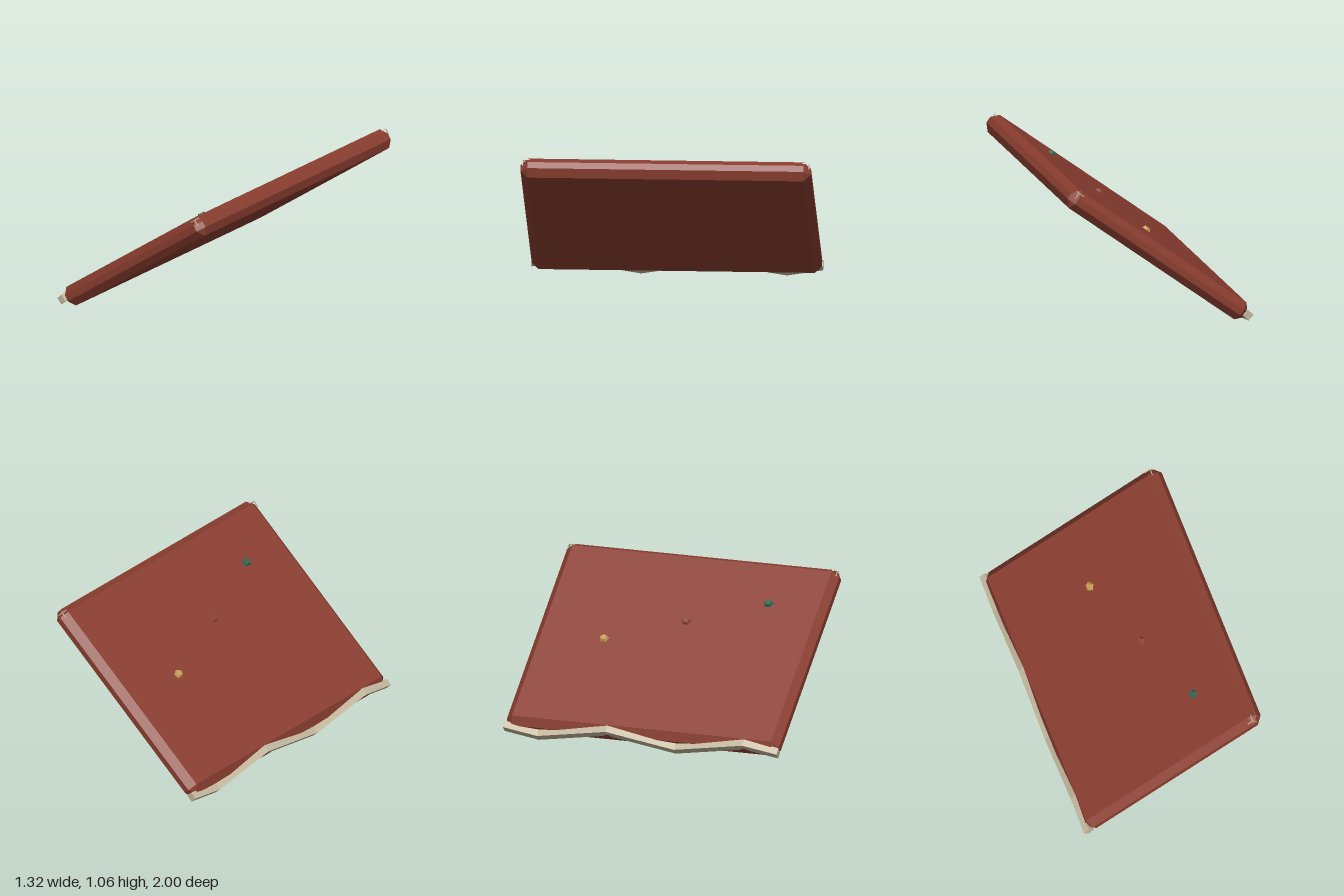
import * as THREE from 'three';
import { ConvexGeometry } from 'three/addons/geometries/ConvexGeometry.js';

const mat = (name, color) => {
  const m = new THREE.MeshStandardMaterial({ color });
  m.name = name;
  return m;
};

function add(parent, name, geometry, material, x = 0, y = 0, z = 0) {
  const mesh = new THREE.Mesh(geometry, material);
  mesh.name = name;
  mesh.position.set(x, y, z);
  parent.add(mesh);
  return mesh;
}

// Box with every edge cut by the same chamfer
function chamferedBox(hx, hy, hz, c) {
  const points = [];
  for (const a of [-1, 1]) for (const b of [-1, 1]) for (const d of [-1, 1]) {
    points.push(
      new THREE.Vector3(a * hx, b * (hy - c), d * (hz - c)),
      new THREE.Vector3(a * (hx - c), b * hy, d * (hz - c)),
      new THREE.Vector3(a * (hx - c), b * (hy - c), d * hz));
  }
  return new ConvexGeometry(points);
}

// Square bar along z, bent up and down in a coarse wave
function wavyBar(side, length, amplitude) {
  const bar = new THREE.BoxGeometry(side, side, length, 1, 1, 8);
  bar.rotateZ(Math.PI / 4);
  const p = bar.attributes.position;
  for (let i = 0; i < p.count; i++) {
    p.setY(i, p.getY(i) - amplitude * Math.sin(2 * Math.PI * p.getZ(i)));
  }
  const flat = bar.toNonIndexed();
  flat.computeVertexNormals();
  return flat;
}

// Faceted five-sided stone, pointing up the slope
function stoneGeometry() {
  const stone = new THREE.CylinderGeometry(0.024, 0.048, 0.04, 5).toNonIndexed();
  stone.rotateY(Math.PI / 2);
  stone.scale(0.92, 1, 1);
  stone.computeVertexNormals();
  return stone;
}

export function createModel() {
  const model = new THREE.Group();
  model.name = 'slopedPanel';

  const red = mat('brick red', 0x8a3d2f);
  const cream = mat('bone cream', 0xc2b69c);
  const gold = mat('gold', 0xc89c56);
  const rust = mat('rust', 0x8f4436);
  const green = mat('deep green', 0x2f6650);

  // Tilted slab, with its details in the slab's own frame
  const slope = new THREE.Group();
  slope.name = 'slope';
  slope.position.set(0.012, 0.547, 0);
  slope.rotation.z = 0.65;
  model.add(slope);

  const hx = 0.792, hy = 0.072, hz = 0.996;
  add(slope, 'slab', chamferedBox(hx, hy, hz, 0.049), red);

  // Row of stones running diagonally across the face
  const stone = stoneGeometry();
  [['goldStone', gold, -0.017, -0.49], ['rustStone', rust, 0.196, 0.05], ['greenStone', green, 0.416, 0.585]]
    .forEach(([name, material, x, z]) => add(slope, name, stone, material, x, hy, z));

  // Slim three-armed brackets just showing at the two upper corners
  for (const s of [-1, 1]) {
    const bracket = new THREE.Group();
    bracket.name = 'cornerBracket';
    bracket.position.set(hx - 0.03, hy - 0.018, s * (hz - 0.014));
    slope.add(bracket);
    const t = 0.006, l = 0.045;
    add(bracket, 'bracketArmAlong', new THREE.BoxGeometry(l, t, t), cream, -l / 2, 0, 0);
    add(bracket, 'bracketArmDown', new THREE.BoxGeometry(t, l, t), cream, 0, -l / 2, 0);
    add(bracket, 'bracketArmAcross', new THREE.BoxGeometry(t, t, l), cream, 0, 0, -s * l / 2);
  }

  // Wavy trim along the lower edge
  add(model, 'wavyTrim', wavyBar(0.052, 2, 0.039), cream, -0.623, 0.076, 0);

  return model;
}
